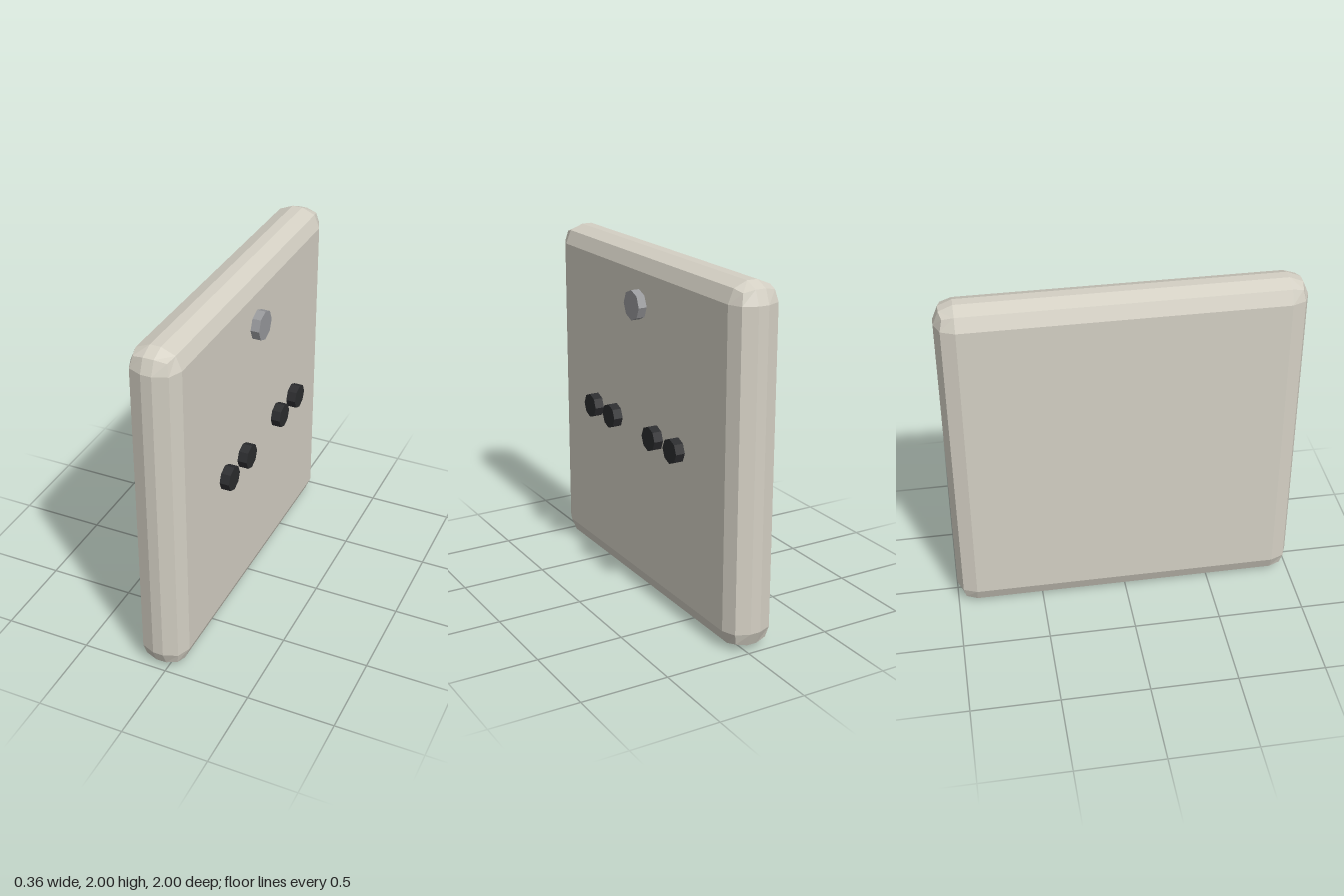
import * as THREE from 'three';
import { RoundedBoxGeometry } from 'three/addons/geometries/RoundedBoxGeometry.js';

const material = (color) => new THREE.MeshStandardMaterial({ color, flatShading: true });

export function createModel() {
  const model = new THREE.Group();
  model.name = 'wallPanel';

  // Thin upright plate with two-step chamfered edges
  const plate = new THREE.Mesh(new RoundedBoxGeometry(0.28, 2, 2, 1, 0.11), material(0xd4d0c4));
  plate.name = 'plate';
  plate.position.set(-0.04, 1, 0);
  model.add(plate);

  // Short eight-sided disc whose axis points along x
  const addDisc = (name, radius, x, y, z, mat) => {
    const geometry = new THREE.CylinderGeometry(radius, radius, 0.055, 8);
    geometry.rotateZ(-Math.PI / 2);
    const disc = new THREE.Mesh(geometry, mat);
    disc.name = name;
    disc.position.set(x, y, z);
    model.add(disc);
  };

  // Grey button near the top
  addDisc('button', 0.085, 0.122, 1.705, 0, material(0x98999c));

  // Row of four dark contacts, floating just off the plate
  const dark = material(0x2b2c2e);
  [0.46, 0.23, -0.23, -0.46].forEach((z, i) => {
    addDisc(`contact${i + 1}`, 0.071, 0.149, 1.005, z, dark);
  });

  return model;
}
